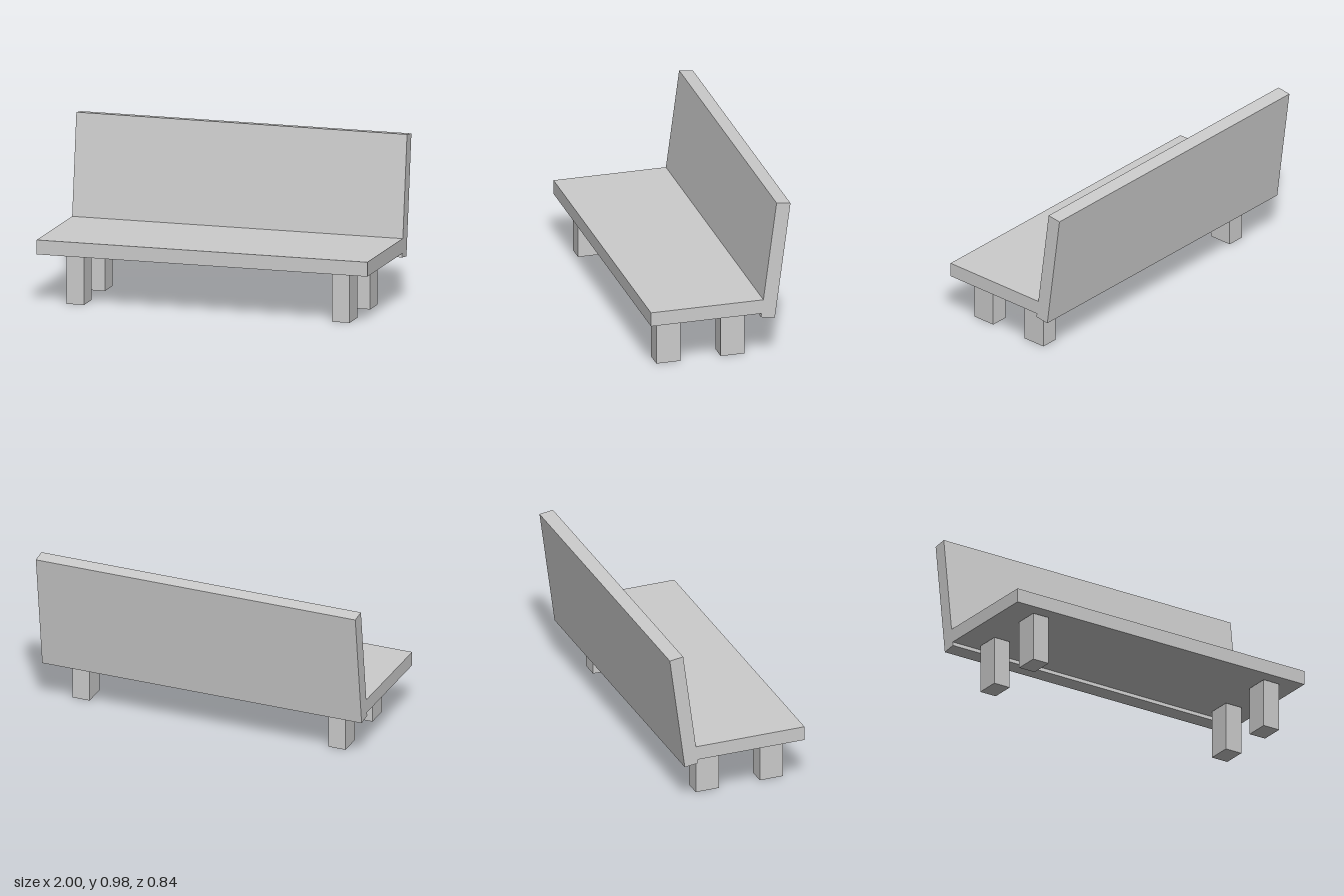
import * as THREE from 'three';

export function createModel() {
  const bench = new THREE.Group();
  bench.name = 'bench';
  const material = new THREE.MeshStandardMaterial({ color: 0xcccccc, flatShading: true });

  function addBox(name, size, position) {
    const mesh = new THREE.Mesh(new THREE.BoxGeometry(...size), material);
    mesh.name = name;
    mesh.position.set(...position);
    bench.add(mesh);
    return mesh;
  }

  // Seat slab, its rear edge tucked into the backrest
  addBox('seat', [2, 0.085, 0.71], [0, 0.338, 0.065]);

  // Backrest slab leaning backwards
  const backrest = addBox('backrest', [2, 0.712, 0.084], [0, 0.62, -0.329]);
  backrest.rotation.x = -0.132;

  // Four block legs, the right rear one set slightly further back
  const legs = [
    ['frontLeftLeg', 0.818, 0.278],
    ['frontRightLeg', -0.789, 0.278],
    ['rearLeftLeg', 0.818, -0.108],
    ['rearRightLeg', -0.789, -0.12],
  ];
  for (const [name, x, z] of legs) addBox(name, [0.107, 0.291, 0.144], [x, 0.1455, z]);

  return bench;
}
